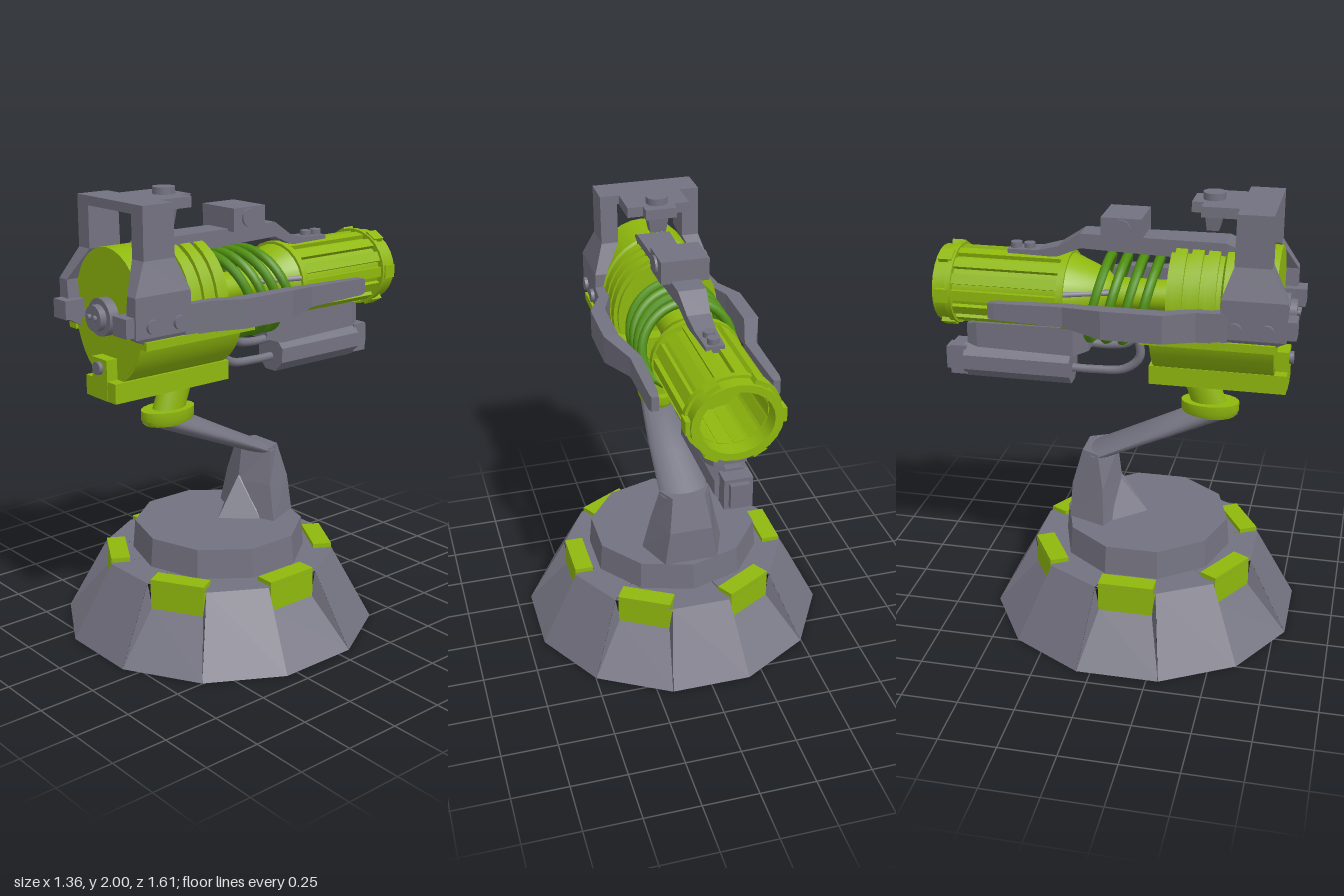
import * as THREE from 'three';
import { toCreasedNormals } from 'three/addons/utils/BufferGeometryUtils.js';

const grey = new THREE.MeshStandardMaterial({ name: 'slate grey', color: 0x737280 });
const green = new THREE.MeshStandardMaterial({ name: 'lime green', color: 0x8fb80e });
const coilGreen = new THREE.MeshStandardMaterial({ name: 'coil green', color: 0x4f8f0f });

function add(parent, name, geometry, material, x = 0, y = 0, z = 0) {
  const mesh = new THREE.Mesh(geometry, material);
  mesh.name = name;
  mesh.position.set(x, y, z);
  parent.add(mesh);
  return mesh;
}

// Box given by its limits on each axis
function block(parent, name, mat, [x0, x1], [y0, y1], [z0, z1]) {
  return add(parent, name, new THREE.BoxGeometry(x1 - x0, y1 - y0, z1 - z0), mat,
    (x0 + x1) / 2, (y0 + y1) / 2, (z0 + z1) / 2);
}

// Flat-shaded surface from triangles, turned so that it faces outward
function facets(tris) {
  let volume = 0;
  for (const [a, b, c] of tris) volume += a.dot(b.clone().cross(c));
  const pos = [];
  for (const [a, b, c] of tris) {
    for (const p of volume < 0 ? [a, c, b] : [a, b, c]) pos.push(p.x, p.y, p.z);
  }
  const g = new THREE.BufferGeometry();
  g.setAttribute('position', new THREE.Float32BufferAttribute(pos, 3));
  g.computeVertexNormals();
  return g;
}

// Skin over convex cross-sections with equal point counts, closed at both ends
function loft(sections) {
  const s = sections.map(loop => loop.map(p => new THREE.Vector3(...p)));
  const n = s[0].length, last = s[s.length - 1], tris = [];
  for (let i = 0; i + 1 < s.length; i++) {
    for (let j = 0; j < n; j++) {
      const k = (j + 1) % n;
      tris.push([s[i][j], s[i][k], s[i + 1][k]], [s[i][j], s[i + 1][k], s[i + 1][j]]);
    }
  }
  for (let j = 1; j + 1 < n; j++) {
    tris.push([s[0][0], s[0][j + 1], s[0][j]], [last[0], last[j], last[j + 1]]);
  }
  return facets(tris);
}
const rectY = (y, x0, x1, z0, z1) => [[x0, y, z0], [x1, y, z0], [x1, y, z1], [x0, y, z1]];
const rectZ = (z, x0, x1, y0, y1) => [[x0, y0, z], [x1, y0, z], [x1, y1, z], [x0, y1, z]];
const ovalY = (y, rx, rz, cz) => Array.from({ length: 20 }, (_, i) => {
  const a = i / 20 * Math.PI * 2;
  return [rx * Math.cos(a), y, cz + rz * Math.sin(a)];
});

// Turned part whose axis runs backward; profile is [radius, -z]
function turned(profile, sx, sy, sides = 24) {
  const g = new THREE.LatheGeometry(profile.map(p => new THREE.Vector2(...p)), sides);
  g.rotateX(-Math.PI / 2).scale(sx, sy, 1);
  return toCreasedNormals(g, 0.6);
}

function bolt(parent, name, mat, r, h, axis, x, y, z, sides = 16) {
  const g = new THREE.CylinderGeometry(r, r, h, sides);
  if (axis === 'x') g.rotateZ(Math.PI / 2);
  if (axis === 'z') g.rotateX(Math.PI / 2);
  return add(parent, name, g, mat, x, y, z);
}

function buildBase() {
  const base = new THREE.Group();
  base.name = 'base';
  base.position.z = 0.12;
  // Twelve-sided skirt with a recess under every second face
  const tris = [], centre = new THREE.Vector3(0, 0.33, 0);
  for (let i = 0; i < 12; i++) {
    const a = i * Math.PI / 6, c = Math.cos(a), s = Math.sin(a);
    const P = (out, side, y) => new THREE.Vector3(c * out - s * side, y, s * out + c * side);
    const A = P(0.68, -0.182, 0), B = P(0.68, 0.182, 0);
    const C = P(0.505, 0.135, 0.33), D = P(0.505, -0.135, 0.33);
    if (i % 2 === 0) {
      const E = P(0.5, 0.118, 0.22), F = P(0.5, -0.118, 0.22);
      tris.push([A, B, E], [A, E, F], [B, C, E], [A, F, D]);
      const pad = block(base, 'greenPad', green, [0.42, 0.504], [0.215, 0.35], [-0.122, 0.122]);
      pad.position.set(c * 0.462, 0.2825, s * 0.462);
      pad.rotation.y = -a;
    } else tris.push([A, B, C], [A, C, D]);
    tris.push([D, C, centre]);
  }
  add(base, 'skirt', facets(tris), grey);
  const floor = new THREE.CircleGeometry(0.704, 12, Math.PI / 12).rotateX(Math.PI / 2);
  add(base, 'underside', floor, green);
  const deck = new THREE.CylinderGeometry(0.39, 0.402, 0.13, 10).toNonIndexed();
  deck.computeVertexNormals();
  add(base, 'deck', deck, grey, 0, 0.395, 0).scale.z = 0.96;
  return base;
}

function buildStand() {
  const stand = new THREE.Group();
  stand.name = 'stand';
  const hex = (y, w, front, mid, back) => [[0, y, front], [w, y, mid], [w * 0.65, y, back],
    [-w * 0.65, y, back], [-w, y, mid]];
  add(stand, 'pedestal', loft([hex(0.46, 0.19, 0.03, -0.05, -0.22),
    hex(0.62, 0.152, 0.0, -0.06, -0.213), hex(0.78, 0.115, -0.02, -0.09, -0.17)]), grey);
  add(stand, 'pedestalWedge', loft([[[-0.13, 0.46, -0.02], [0.13, 0.46, -0.02], [0, 0.46, 0.12]],
    [[-0.01, 0.64, -0.02], [0.01, 0.64, -0.02], [0, 0.64, 0]]]), grey);
  // Slanted arm and the neck on it
  add(stand, 'slantedArm', toCreasedNormals(loft([ovalY(0.765, 0.115, 0.075, -0.095),
    ovalY(0.89, 0.1, 0.1, 0.175), ovalY(0.995, 0.075, 0.125, 0.4)]), 0.8), grey);
  add(stand, 'collar', toCreasedNormals(loft([ovalY(0.985, 0.075, 0.115, 0.4),
    ovalY(1.01, 0.085, 0.13, 0.4), ovalY(1.05, 0.085, 0.13, 0.4)]), 0.6), green);
  add(stand, 'neck', toCreasedNormals(loft([ovalY(1.04, 0.056, 0.08, 0.395),
    ovalY(1.17, 0.056, 0.08, 0.35)]), 0.6), green);
  return stand;
}

function buildDrum(head) {
  const profile = [[0, -0.69], [1, -0.69], [1, -0.47]];
  for (const d of [-0.44, -0.37, -0.3]) profile.push([0.93, d - 0.02], [0.93, d], [1, d], [1, d + 0.05]);
  profile.push([0.93, -0.25], [0.93, -0.23], [0, -0.23]);
  add(head, 'drum', turned(profile, 0.24, 0.275, 32), green, 0, 1.505, 0);
  const half = new THREE.Shape();
  half.absellipse(0, 0, 0.235, 0.28, Math.PI + 0.22, Math.PI * 2 - 0.22, false);
  const casing = new THREE.ExtrudeGeometry(half, { depth: 0.525, bevelEnabled: false, curveSegments: 20 });
  add(head, 'lowerCasing', toCreasedNormals(casing, 0.6), green, 0, 1.49, 0.163);
  // Hub and mounting rail
  bolt(head, 'hub', grey, 0.08, 0.05, 'z', 0, 1.496, 0.71, 24);
  bolt(head, 'hubCap', grey, 0.055, 0.04, 'z', 0, 1.496, 0.745, 20);
  for (const x of [-0.02, 0.02]) bolt(head, 'hubPin', grey, 0.012, 0.02, 'z', x, 1.5, 0.77, 8);
  block(head, 'rail', green, [-0.1, 0.11], [1.15, 1.235], [0.14, 0.74]);
  block(head, 'frontBracket', green, [-0.05, 0.055], [1.15, 1.325], [0.66, 0.742]);
  bolt(head, 'bracketBolt', grey, 0.028, 0.02, 'z', 0.003, 1.285, 0.75);
}

function buildSide(head, s) {
  const X = (a, b) => (s > 0 ? [a, b] : [-b, -a]);
  const side = new THREE.Group();
  side.name = s > 0 ? 'leftSide' : 'rightSide';
  head.add(side);
  block(side, 'casingFlange', green, X(0.225, 0.275), [1.4, 1.435], [0.13, 0.7]);
  // Cheek rising into the post of the top frame
  add(side, 'cheek', loft([rectY(1.42, ...X(0.2, 0.255), 0.47, 0.69), rectY(1.45, ...X(0.2, 0.27), 0.47, 0.745),
    rectY(1.62, ...X(0.215, 0.27), 0.47, 0.745), rectY(1.75, ...X(0.15, 0.227), 0.515, 0.67),
    rectY(1.97, ...X(0.15, 0.227), 0.52, 0.67)]), grey);
  block(side, 'cheekNose', grey, X(0.17, 0.26), [1.46, 1.54], [0.69, 0.785]);
  for (const z of [0.53, 0.665]) bolt(side, 'cheekBolt', grey, 0.03, 0.02, 'x', s * 0.275, 1.495, z);
  // Long bulging arm along the coil and barrel
  add(side, 'sideArm', loft([[0.5, 0.22, 0.27, 1.43, 1.56], [0.37, 0.23, 0.28, 1.43, 1.56],
    [0.24, 0.28, 0.345, 1.435, 1.56], [-0.02, 0.28, 0.345, 1.435, 1.56], [-0.2, 0.225, 0.275, 1.45, 1.54],
    [-0.5, 0.235, 0.275, 1.46, 1.535], [-0.53, 0.24, 0.27, 1.465, 1.53]]
    .map(([z, a, b, y0, y1]) => rectZ(z, ...X(a, b), y0, y1))), grey);
  // Brace between cone and barrel ring
  const brace = new THREE.LineCurve3(new THREE.Vector3(s * 0.08, 1.55, -0.04), new THREE.Vector3(s * 0.18, 1.56, -0.24));
  add(side, 'brace', new THREE.TubeGeometry(brace, 1, 0.015, 6), grey);
}

function buildBarrel(head) {
  add(head, 'barrel', turned([[0.07, -0.25], [0.07, 0.04], [0.1, 0.07], [0.162, 0.22], [0.174, 0.22],
    [0.174, 0.25], [0.15, 0.25], [0.15, 0.72], [0.178, 0.72], [0.178, 0.745], [0.166, 0.745], [0.166, 0.805],
    [0.135, 0.805], [0.135, 0.45], [0, 0.45]], 1.13, 1), green, 0, 1.525, 0);
  const ribs = new THREE.Group();
  ribs.name = 'barrelRibs';
  ribs.position.y = 1.525;
  ribs.scale.x = 1.13;
  head.add(ribs);
  for (let i = 0; i < 14; i++) {
    const a = (i + 0.5) / 14 * Math.PI * 2;
    const rib = block(ribs, 'barrelRib', green, [-0.01, 0.01], [-0.022, 0.022], [-0.73, -0.24]);
    rib.geometry.scale(2.2, 0.8, 1);
    rib.position.set(0.148 * Math.sin(a), 0.148 * Math.cos(a), -0.485);
    rib.rotation.z = -a;
  }
  for (let i = 0; i < 6; i++) {
    const a = (i + 0.5) / 6 * Math.PI * 2;
    const lug = block(head, 'muzzleLug', green, [-0.03, 0.03], [-0.015, 0.015], [-0.78, -0.72]);
    lug.position.set(0.19 * Math.sin(a), 1.525 + 0.168 * Math.cos(a), -0.76);
    lug.rotation.z = -a;
  }
  // Tilted coil spring around the core
  class Helix extends THREE.Curve {
    getPoint(t, out = new THREE.Vector3()) {
      const u = t * 3.6 - 0.25, a = u * Math.PI * 2, dy = 0.185 * Math.cos(a);
      return out.set(0.205 * Math.sin(a), 1.505 + dy, 0.11 - 0.072 * u + 0.3 * dy);
    }
  }
  add(head, 'coil', new THREE.TubeGeometry(new Helix(), 130, 0.021, 8), coilGreen);
}

function buildTop(head) {
  add(head, 'spine', loft([rectZ(0.52, -0.07, 0.07, 1.72, 1.775), rectZ(0.46, -0.075, 0.075, 1.72, 1.8),
    rectZ(-0.17, -0.06, 0.06, 1.735, 1.8), rectZ(-0.27, -0.05, 0.05, 1.69, 1.735),
    rectZ(-0.36, -0.045, 0.045, 1.675, 1.71), rectZ(-0.5, -0.04, 0.04, 1.675, 1.705)]), grey);
  for (const z of [-0.47, -0.41]) bolt(head, 'spineBolt', grey, 0.025, 0.03, 'y', 0, 1.715, z);
  block(head, 'topBox', grey, [-0.105, 0.105], [1.79, 1.89], [-0.07, 0.105]);
  bolt(head, 'topBoxBolt', grey, 0.04, 0.23, 'x', 0, 1.845, 0.02);
  // Top frame with its rear shelf, knob and hook
  block(head, 'topBar', grey, [-0.227, 0.227], [1.93, 1.97], [0.52, 0.67]);
  block(head, 'topShelf', grey, [-0.14, 0.14], [1.925, 1.97], [0.36, 0.53]);
  block(head, 'topShelfEnd', grey, [-0.07, 0.07], [1.925, 1.97], [0.31, 0.37]);
  bolt(head, 'topKnob', grey, 0.048, 0.05, 'y', 0, 1.975, 0.395, 20);
  add(head, 'hook', loft([rectY(1.84, -0.035, 0.035, 0.37, 0.42), rectY(1.93, -0.05, 0.05, 0.36, 0.44)]), grey);
}

function buildPod(head) {
  const pod = new THREE.CylinderGeometry(0.087, 0.087, 0.49, 8).rotateY(Math.PI / 8).rotateX(Math.PI / 2).toNonIndexed();
  pod.computeVertexNormals();
  add(head, 'pod', pod, grey, -0.02, 1.18, -0.465);
  block(head, 'podNose', grey, [-0.08, 0.04], [1.115, 1.25], [-0.775, -0.7]);
  block(head, 'podTip', grey, [-0.06, 0.02], [1.13, 1.235], [-0.8, -0.77]);
  add(head, 'podMount', loft([rectZ(-0.135, -0.07, 0.05, 1.27, 1.35), rectZ(-0.2, -0.1, 0.08, 1.25, 1.38),
    rectZ(-0.64, -0.1, 0.08, 1.26, 1.375), rectZ(-0.69, -0.08, 0.06, 1.27, 1.36)]), grey);
  // Hoses running from the pod to the core
  const hoses = [[[-0.02, 1.165, -0.24], [-0.02, 1.165, -0.12], [-0.02, 1.18, 0.02], [-0.02, 1.24, 0.085], [-0.02, 1.32, 0.08], [-0.02, 1.46, 0.06]],
    [[0.03, 1.275, -0.24], [0.03, 1.27, -0.05], [0.03, 1.29, 0.03], [0.03, 1.36, 0.06], [0.03, 1.46, 0.06]]];
  for (const h of hoses) {
    const path = new THREE.CatmullRomCurve3(h.map(p => new THREE.Vector3(...p)));
    add(head, 'hose', new THREE.TubeGeometry(path, 24, 0.02, 8), grey);
  }
}

export function createModel() {
  const model = new THREE.Group();
  model.name = 'turret';
  const head = new THREE.Group();
  head.name = 'head';
  head.position.x = -0.01;
  buildDrum(head);
  for (const s of [1, -1]) buildSide(head, s);
  buildBarrel(head);
  buildTop(head);
  buildPod(head);
  model.add(buildBase(), buildStand(), head);
  return model;
}
